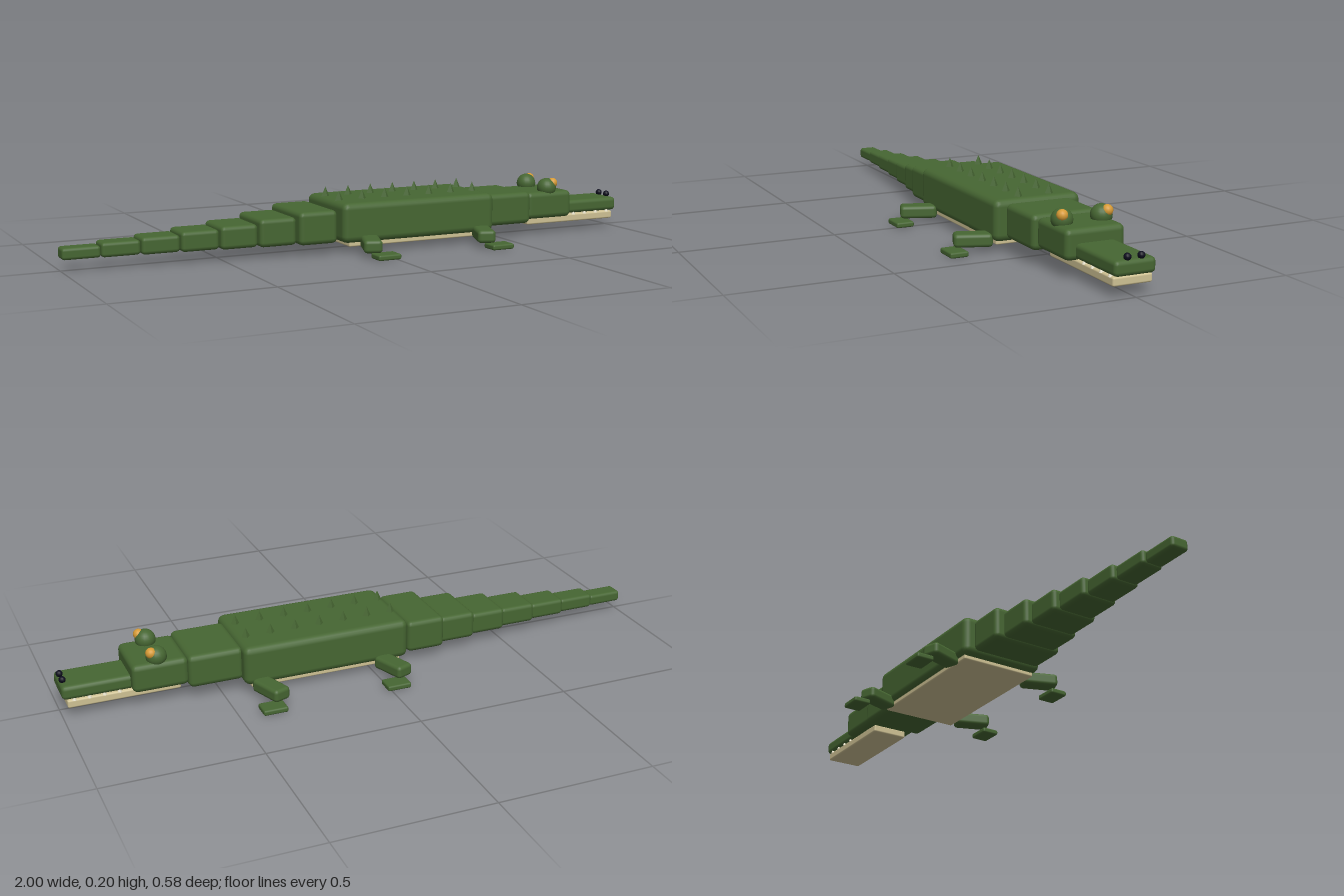
import * as THREE from 'three';
import { RoundedBoxGeometry } from 'three/addons/geometries/RoundedBoxGeometry.js';

const material = (name, color, flatShading = false) => {
  const m = new THREE.MeshStandardMaterial({ color, flatShading });
  m.name = name;
  return m;
};

export function createModel() {
  const model = new THREE.Group();
  model.name = 'crocodile';
  const green = material('skin green', 0x466632);
  const cream = material('belly cream', 0xcfc294);
  const gold = material('eye gold', 0xd69a35);
  const dark = material('nostril dark', 0x0c0c1c);
  const white = material('tooth ivory', 0xf0ead2);

  const add = (name, geometry, mat, x, y, z) => {
    const mesh = new THREE.Mesh(geometry, mat);
    mesh.name = name;
    mesh.position.set(x, y, z);
    model.add(mesh);
    return mesh;
  };
  // Rounded block given by its x range, y range and half width in z
  const block = (name, mat, x0, x1, y0, y1, half, radius) =>
    add(name, new RoundedBoxGeometry(x1 - x0, y1 - y0, half * 2, 2, radius), mat,
      (x0 + x1) / 2, (y0 + y1) / 2, 0);

  // Trunk, neck and head
  block('body', green, -0.12, 0.44, 0.035, 0.165, 0.147, 0.022);
  block('belly', cream, -0.095, 0.415, 0.022, 0.05, 0.132, 0.005);
  block('neck', green, 0.43, 0.61, 0.045, 0.154, 0.11, 0.018);
  block('head', green, 0.605, 0.785, 0.055, 0.148, 0.097, 0.018);
  block('upperSnout', green, 0.74, 0.998, 0.06, 0.106, 0.066, 0.014);
  block('lowerJaw', cream, 0.625, 0.983, 0.031, 0.058, 0.063, 0.006);

  // Tail: tapering segments from root to tip
  const ends = [-0.13, -0.262, -0.387, -0.51, -0.634, -0.757, -0.88, -1];
  const tops = [0.143, 0.126, 0.11, 0.1, 0.09, 0.082, 0.073];
  const halves = [0.123, 0.098, 0.08, 0.063, 0.05, 0.038, 0.03];
  tops.forEach((top, i) => {
    block(`tailSegment${i + 1}`, green, ends[i + 1], ends[i], 0.036, top, halves[i], 0.016 - i * 0.001);
  });

  const spike = new THREE.ConeGeometry(0.018, 0.04, 4).toNonIndexed();
  spike.computeVertexNormals();
  const tooth = new THREE.ConeGeometry(0.008, 0.018, 6);
  const eyelid = new THREE.SphereGeometry(0.033, 20, 14);
  const iris = new THREE.SphereGeometry(0.0175, 16, 12);
  const nostril = new THREE.SphereGeometry(0.011, 12, 8);
  const leg = new RoundedBoxGeometry(0.06, 0.042, 0.12, 2, 0.012);
  const foot = new RoundedBoxGeometry(0.08, 0.018, 0.06, 2, 0.006);

  for (const side of [1, -1]) {
    const sideName = side > 0 ? 'front' : 'back';

    // Two rows of back spikes
    for (let i = 0; i < 7; i++) {
      add(`${sideName}RowSpike`, spike, green, -0.094 + i * 0.0832, 0.176, side * 0.053);
    }
    // Teeth along the jaw edge
    for (let i = 0; i < 4; i++) {
      add('tooth', tooth, white, 0.82 + i * 0.047, 0.064, side * 0.058);
    }
    // Bulging eyes and nostrils
    add('eyelid', eyelid, green, 0.7, 0.159, side * 0.065);
    add('iris', iris, gold, 0.718, 0.175, side * 0.074);
    add('nostril', nostril, dark, 0.986, 0.113, side * 0.022);

    // Splayed legs with flat feet
    for (const x of [-0.045, 0.372]) {
      add('leg', leg, green, x, 0.038, side * 0.19).rotation.y = -side * 0.35;
      add('foot', foot, green, x + 0.018, 0.009, side * 0.259);
    }
  }
  return model;
}
